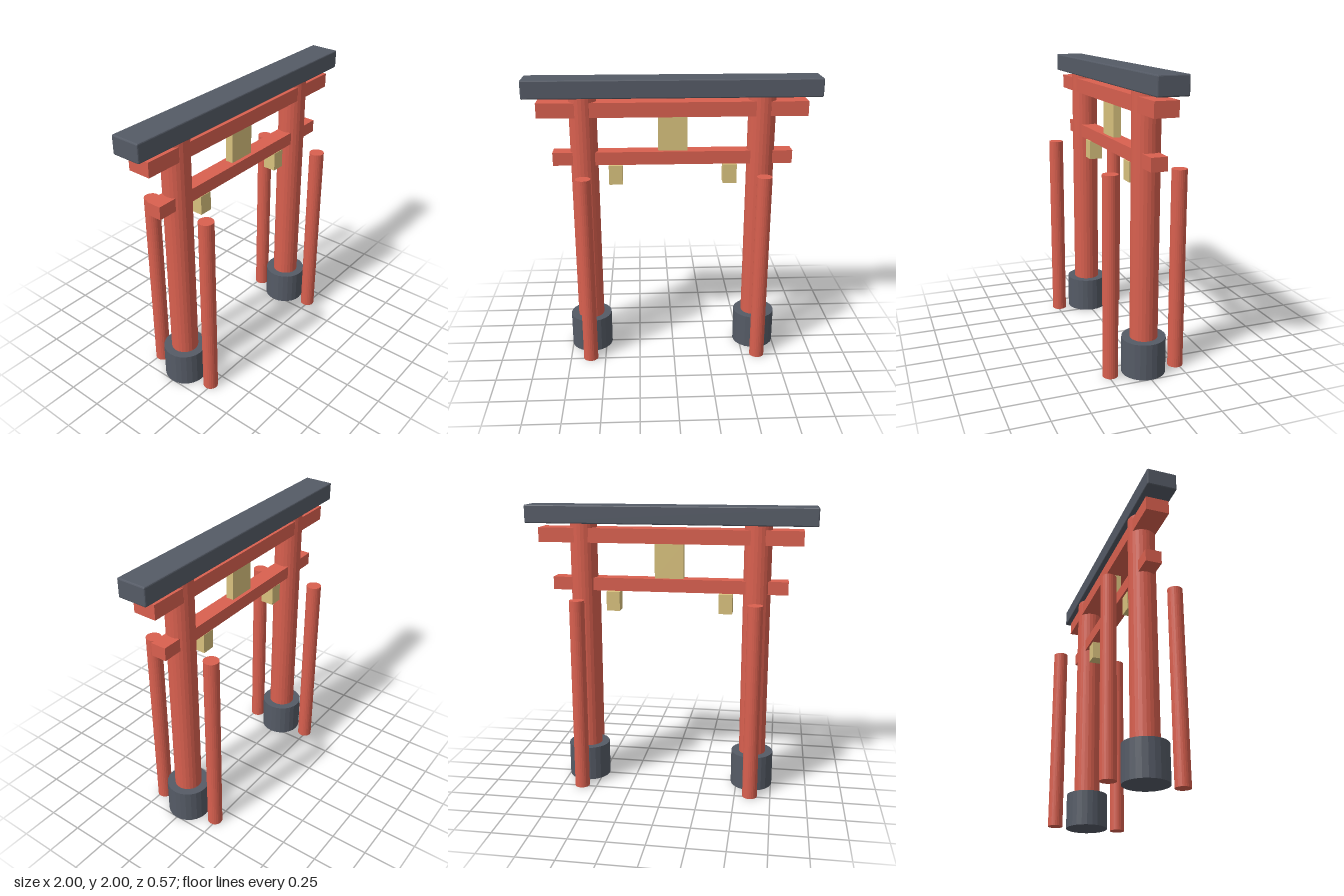
import * as THREE from 'three';
import { RoundedBoxGeometry } from 'three/addons/geometries/RoundedBoxGeometry.js';

export function createModel() {
  const model = new THREE.Group();
  model.name = 'gate';

  const paint = (color) => new THREE.MeshStandardMaterial({ color, flatShading: true });
  const red = paint(0xd9604f);
  const slate = paint(0x555b66);
  const straw = paint(0xd9c27e);

  const add = (name, geometry, material, x, y, z) => {
    const mesh = new THREE.Mesh(geometry, material);
    mesh.name = name;
    mesh.position.set(x, y, z);
    model.add(mesh);
  };

  // Box centred on z = 0, given by its bottom and top heights
  const beam = (name, material, x, width, bottom, top, depth, bevel = 0) => {
    const size = [width, top - bottom, depth];
    const geometry = bevel
      ? new RoundedBoxGeometry(...size, 1, bevel)
      : new THREE.BoxGeometry(...size);
    add(name, geometry, material, x, (bottom + top) / 2, 0);
  };

  // Upright cylinder between two heights
  const post = (name, material, radius, bottom, top, x, z) => {
    const geometry = new THREE.CylinderGeometry(radius, radius, top - bottom, 24);
    add(name, geometry, material, x, (bottom + top) / 2, z);
  };

  // Horizontal beams
  beam('topLintel', slate, 0, 2, 1.875, 2, 0.205, 0.008);
  beam('upperBeam', red, 0, 1.82, 1.745, 1.845, 0.16);
  beam('lowerBeam', red, 0, 1.64, 1.41, 1.5, 0.11);

  // Plaque between the beams
  beam('plaque', straw, 0, 0.2, 1.5, 1.745, 0.055);

  // Pillars with footings, support posts and lanterns on both sides
  for (const [side, s] of [['left', 1], ['right', -1]]) {
    const x = s * 0.607;
    post(`${side}Footing`, slate, 0.149, 0, 0.25, x, 0);
    post(`${side}Pillar`, red, 0.094, 0.2, 1.88, x, 0);
    post(`${side}FrontPost`, red, 0.052, 0, 1.37, x, 0.235);
    post(`${side}BackPost`, red, 0.052, 0, 1.37, x, -0.235);
    beam(`${side}Lantern`, straw, s * 0.395, 0.094, 1.265, 1.4, 0.094);
  }

  return model;
}
